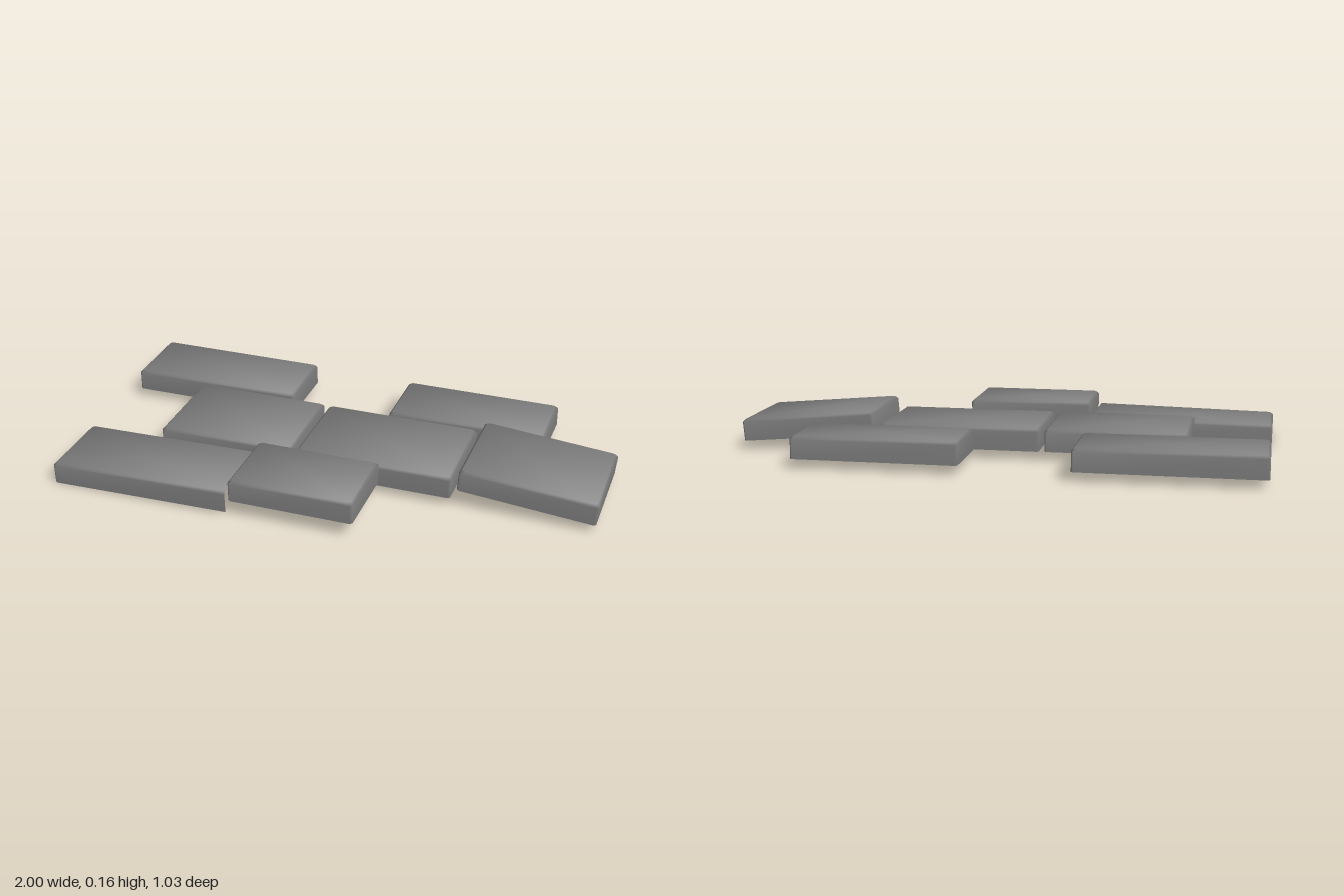
import * as THREE from 'three';

const material = new THREE.MeshStandardMaterial({ color: 0x808080, side: THREE.DoubleSide });
const BEVEL = 0.01, CORNER = 0.008;
const TILT = 0.4; // outward lean of the shading normals around the top

// Hollow slab, open underneath, with a softly bevelled top; origin at the middle of its bottom.
// openEnd leaves the +x end cut off square, without a wall.
function slabGeometry(length, height, depth, openEnd) {
  const outline = (inset) => {
    const x0 = -length / 2 + inset, x1 = length / 2 - (openEnd ? 0 : inset), z = depth / 2 - inset, c = CORNER;
    const left = [[x0 + c, -z], [x0, -z + c], [x0, z - c], [x0 + c, z]];
    const right = openEnd ? [[x1, z], [x1, -z]] : [[x1 - c, z], [x1, z - c], [x1, -z + c], [x1 - c, -z]];
    return [...left, ...right];
  };
  const rings = [[0, 0], [height - BEVEL, 0], [height, BEVEL]];
  const positions = [], index = [];
  let n = 0;
  for (const [y, inset] of rings) {
    const points = outline(inset);
    n = points.length;
    for (const [x, z] of points) positions.push(x, y, z);
  }
  // Walls and bevel
  for (let r = 0; r < rings.length - 1; r++) {
    for (let i = 0; i < n; i++) {
      if (openEnd && i === 4) continue;
      const j = (i + 1) % n, a = r * n + i, b = r * n + j;
      index.push(a, b, b + n, a, b + n, a + n);
    }
  }
  // Top, fanned from its middle
  const t = (rings.length - 1) * n, middle = t + n;
  positions.push(0, height, 0);
  for (let i = 0; i < n; i++) index.push(middle, t + i, t + (i + 1) % n);

  const geometry = new THREE.BufferGeometry();
  geometry.setAttribute('position', new THREE.Float32BufferAttribute(positions, 3));
  geometry.setIndex(index);
  geometry.computeVertexNormals();

  // Lean the normals of the top rim outwards so the top shades softly
  const normal = new THREE.Vector3();
  for (let i = t; i < middle; i++) {
    const x = positions[i * 3], z = positions[i * 3 + 2];
    normal.set(Math.sign(x) * TILT, 1, Math.sign(z) * TILT).normalize();
    geometry.attributes.normal.setXYZ(i, normal.x, normal.y, normal.z);
  }
  return geometry;
}

// name, x range, z range, bottom height at the middle, tilt, cut-off end
const slabs = [
  ['backLeftmostSlab', -1, -0.318, -0.517, -0.221, 0.034, 0, false],
  ['backRightmostSlab', 0.09, 0.71, -0.495, -0.217, 0.034, 0, false],
  ['middleFirstSlab', -0.703, -0.174, -0.205, 0.188, 0.034, 0, false],
  ['middleSecondSlab', -0.153, 0.454, -0.203, 0.188, 0.033, 0, false],
  ['middleTiltedSlab', 0.477, 0.995, -0.203, 0.19, 0.053, -0.087, false],
  ['frontCutSlab', -1, -0.298, 0.2, 0.514, 0.007, 0.02, true],
  ['frontRaisedSlab', -0.288, 0.187, 0.207, 0.514, 0.065, 0, false],
];

export function createModel() {
  const group = new THREE.Group();
  group.name = 'stoneSlabs';
  for (const [name, x0, x1, z0, z1, y, tilt, openEnd] of slabs) {
    const mesh = new THREE.Mesh(slabGeometry(x1 - x0, 0.083, z1 - z0, openEnd), material);
    mesh.name = name;
    mesh.position.set((x0 + x1) / 2, y, (z0 + z1) / 2);
    mesh.rotation.z = tilt;
    group.add(mesh);
  }
  return group;
}
